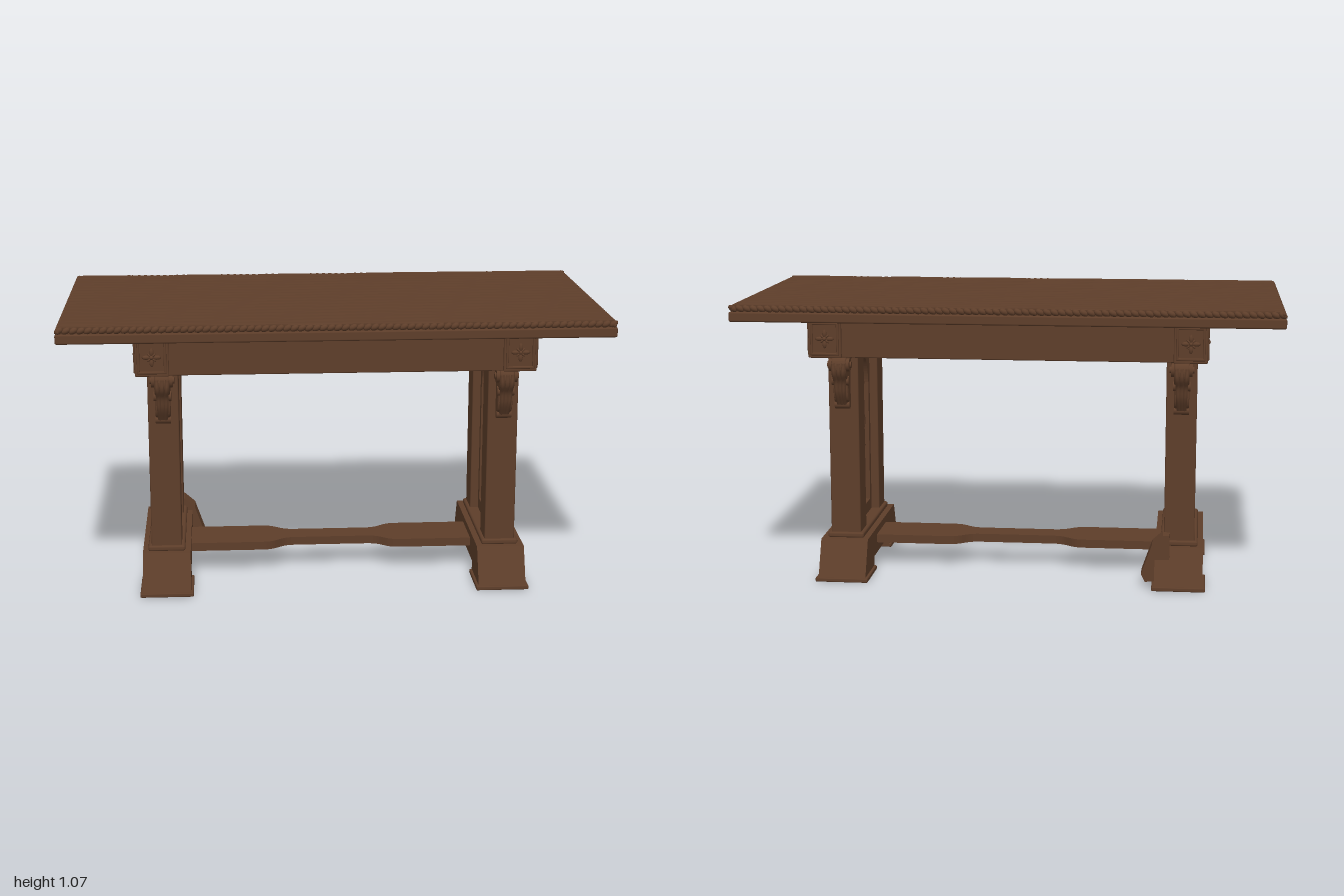
import * as THREE from 'three';
import { mergeGeometries } from 'three/addons/utils/BufferGeometryUtils.js';
import { RoundedBoxGeometry } from 'three/addons/geometries/RoundedBoxGeometry.js';

const wood = new THREE.MeshStandardMaterial({ color: 0x5e3e2a });

function add(parent, name, geo, x = 0, y = 0, z = 0) {
  const m = new THREE.Mesh(geo, wood);
  m.name = name;
  m.position.set(x, y, z);
  parent.add(m);
  return m;
}

const box = (w, h, d, r = 0.004) => new RoundedBoxGeometry(w, h, d, 1, r);
const toShape = (pts) => new THREE.Shape(pts.map(([x, y]) => new THREE.Vector2(x, y)));

// Extrude a shape centred on its depth, so that its own x runs along +z
function slab(shape, depth, bevel = 0) {
  const g = new THREE.ExtrudeGeometry(shape, {
    depth: depth - 2 * bevel, bevelEnabled: bevel > 0, bevelThickness: bevel,
    bevelSize: bevel, bevelOffset: -bevel, bevelSegments: 2, curveSegments: 16,
  });
  return g.translate(0, 0, bevel - depth / 2).rotateY(-Math.PI / 2);
}

function makeTop() {
  const g = new THREE.Group();
  g.name = 'tableTop';
  add(g, 'lowerBoard', box(2, 0.036, 1.03, 0.006), 0, 1.027, 0);

  // Upper board with shallow grain running along x
  const board = new THREE.BoxGeometry(1.975, 0.026, 1.005, 70, 1, 90);
  const p = board.attributes.position;
  for (let i = 0; i < p.count; i++) {
    if (p.getY(i) < 0) continue;
    const x = p.getX(i), z = p.getZ(i);
    const n = Math.sin(z * 173 + 2 * Math.sin(x * 5)) * Math.sin(x * 9 + z * 61);
    p.setY(i, p.getY(i) - 0.003 * Math.max(0, n));
  }
  board.computeVertexNormals();
  add(g, 'grainedBoard', board, 0, 1.057, 0);

  // Twisted rope edge made of slanted beads
  const beads = [];
  const run = (len, fixed, alongX) => {
    const n = Math.round(len / 0.026);
    for (let i = 0; i <= n; i++) {
      const t = -len / 2 + (len * i) / n;
      const b = new THREE.SphereGeometry(1, 8, 6).scale(0.018, 0.011, 0.011).rotateZ(0.5);
      if (!alongX) b.rotateY(Math.PI / 2);
      beads.push(b.translate(alongX ? t : fixed, 1.057, alongX ? fixed : t));
    }
  };
  for (const s of [-1, 1]) {
    run(1.97, s * 0.504, true);
    run(1.0, s * 0.988, false);
  }
  add(g, 'ropeEdge', mergeGeometries(beads));
  return g;
}

// Square frame with a four-petal flower, facing +z
function makeRosette() {
  const g = new THREE.Group();
  g.name = 'rosette';
  for (const s of [-1, 1]) {
    add(g, 'frameBar', box(0.106, 0.01, 0.01), 0, s * 0.056, 0);
    add(g, 'frameBar', box(0.01, 0.122, 0.01), s * 0.048, 0, 0);
  }
  for (let i = 0; i < 8; i++) {
    const long = i % 2 === 0, r = long ? 0.019 : 0.011;
    const petal = new THREE.SphereGeometry(1, 8, 6).scale(long ? 0.016 : 0.011, long ? 0.008 : 0.004, 0.006);
    add(g, 'petal', petal.translate(r, 0, 0).rotateZ((i * Math.PI) / 4));
  }
  add(g, 'flowerCentre', new THREE.SphereGeometry(0.007, 10, 8), 0, 0, 0.003);
  return g;
}

function makeApron() {
  const g = new THREE.Group();
  g.name = 'apron';
  for (const s of [-1, 1]) {
    add(g, 'longRail', box(1.3, 0.14, 0.07), 0, 0.94, s * 0.385);
    add(g, 'endRail', box(0.13, 0.14, 0.72), s * 0.655, 0.94, 0);
    for (const t of [-1, 1]) {
      add(g, 'cornerBlock', box(0.122, 0.142, 0.116), s * 0.666, 0.94, t * 0.372);
      const a = makeRosette();
      a.position.set(s * 0.666, 0.94, t * 0.43);
      a.rotation.y = t > 0 ? 0 : Math.PI;
      const b = makeRosette();
      b.position.set(s * 0.727, 0.94, t * 0.368);
      b.rotation.y = (s * Math.PI) / 2;
      g.add(a, b);
    }
  }
  return g;
}

// Carved scroll bracket projecting along +z
function makeCorbel() {
  const g = new THREE.Group();
  g.name = 'corbel';
  const s = new THREE.Shape();
  s.moveTo(0, 0.86);
  s.lineTo(0.07, 0.86);
  s.bezierCurveTo(0.105, 0.85, 0.1, 0.79, 0.07, 0.775);
  s.bezierCurveTo(0.05, 0.76, 0.065, 0.72, 0.045, 0.69);
  s.quadraticCurveTo(0.03, 0.67, 0, 0.67);
  add(g, 'corbelBody', slab(s, 0.056, 0.006));
  const scroll = (r, len, y, z) =>
    add(g, 'scroll', new THREE.CylinderGeometry(r, r, len, 16).rotateZ(Math.PI / 2), 0, y, z);
  scroll(0.026, 0.078, 0.828, 0.064);
  scroll(0.012, 0.09, 0.828, 0.064);
  scroll(0.018, 0.064, 0.765, 0.05);
  scroll(0.016, 0.056, 0.67, 0.022);
  add(g, 'cap', box(0.08, 0.014, 0.075), 0, 0.853, 0.035);
  // Leaf ribs down the front
  for (const x of [-0.02, 0, 0.02]) {
    const c = new THREE.CatmullRomCurve3([[0.835, 0.088], [0.8, 0.09], [0.765, 0.07], [0.72, 0.06], [0.675, 0.035]]
      .map(([y, z], i) => new THREE.Vector3(x * (1 - i * 0.12), y, z)));
    add(g, 'leafRib', new THREE.TubeGeometry(c, 14, 0.009, 6));
  }
  return g;
}

// Pierced panel between the posts, drawn with shape x along z
function makeTracery() {
  const g = new THREE.Group();
  g.name = 'tracery';
  const plate = toShape([[-0.145, 0.16], [0.145, 0.16], [0.145, 0.87], [-0.145, 0.87]]);
  const arch = new THREE.Path();
  arch.moveTo(-0.112, 0.215);
  arch.lineTo(0.112, 0.215);
  arch.lineTo(0.112, 0.69);
  arch.quadraticCurveTo(0.1, 0.79, 0, 0.842);
  arch.quadraticCurveTo(-0.1, 0.79, -0.112, 0.69);
  plate.holes.push(arch);
  for (const s of [-1, 1])
    plate.holes.push(toShape([[s * 0.104, 0.84], [s * 0.08, 0.84], [s * 0.085, 0.82], [s * 0.082, 0.8], [s * 0.1, 0.8], [s * 0.097, 0.82]]));
  add(g, 'panelFrame', slab(plate, 0.05));

  // Large ring, its quatrefoil and the pointed moulding around them
  const ring = (r, tube, z, y, sx = 1) =>
    add(g, 'ring', new THREE.TorusGeometry(r, tube, 8, 32).scale(sx, 1, 1.2).rotateY(-Math.PI / 2), 0, y, z);
  ring(0.095, 0.01, 0, 0.692, 0.88);
  const foil = (extra) => Array.from({ length: 64 }, (_, i) => {
    const a = (i / 64) * Math.PI * 2;
    const r = 0.047 + 0.011 * Math.cos(4 * a) + 0.005 * Math.cos(8 * a) + extra;
    return [0.9 * r * Math.cos(a), 0.692 + r * Math.sin(a)];
  });
  const band = toShape(foil(0.019));
  band.holes.push(toShape(foil(0)));
  add(g, 'quatrefoil', slab(band, 0.026));
  for (const s of [-1, 1]) {
    const c = new THREE.QuadraticBezierCurve3(new THREE.Vector3(0, 0.68, s * 0.108),
      new THREE.Vector3(0, 0.78, s * 0.098), new THREE.Vector3(0, 0.838, 0));
    add(g, 'archMoulding', new THREE.TubeGeometry(c, 16, 0.009, 6));
    add(g, 'sideRod', box(0.02, 0.12, 0.012), 0, 0.62, s * 0.083);
    add(g, 'sideLink', box(0.02, 0.014, 0.035), 0, 0.69, s * 0.097);
  }

  // Row of small rings on a bar
  for (const z of [-0.083, 0, 0.083]) ring(0.029, 0.009, z, 0.537);
  for (const s of [-1, 1]) {
    add(g, 'ringLink', box(0.02, 0.016, 0.03), 0, 0.545, s * 0.042);
    add(g, 'ringLink', box(0.02, 0.016, 0.02), 0, 0.545, s * 0.112);
  }
  add(g, 'ringLink', box(0.02, 0.025, 0.012), 0, 0.58, 0);

  // Slender mullions carrying four lancet arches
  for (let i = -2; i <= 2; i++) {
    const z = i * 0.0535;
    add(g, 'mullion', new THREE.CylinderGeometry(0.007, 0.007, 0.23, 8), 0, 0.325, z);
    add(g, 'mullionCap', box(0.022, 0.01, 0.02), 0, 0.437, z);
    for (const s of [-1, 1]) {
      if (Math.abs(i + s) > 2) continue;
      const c = new THREE.QuadraticBezierCurve3(new THREE.Vector3(0, 0.435, z),
        new THREE.Vector3(0, 0.485, z + s * 0.004), new THREE.Vector3(0, 0.512, z + s * 0.03));
      add(g, 'lancetArch', new THREE.TubeGeometry(c, 8, 0.007, 6));
    }
  }
  return g;
}

function makeTrestle() {
  const g = new THREE.Group();
  g.name = 'trestle';
  const base = toShape([[-0.355, 0.01], [-0.165, 0.01], [-0.165, 0.05], [0.165, 0.05], [0.165, 0.01],
    [0.355, 0.01], [0.29, 0.15], [-0.29, 0.15]]);
  add(g, 'base', slab(base, 0.18));
  add(g, 'ledge', box(0.14, 0.022, 0.53, 0.008), 0, 0.159, 0);
  g.add(makeTracery());
  for (const s of [-1, 1]) {
    add(g, 'footPlate', box(0.2, 0.016, 0.2), 0, 0.008, s * 0.265);
    add(g, 'post', box(0.114, 0.72, 0.115), 0, 0.515, s * 0.197);
    const c = makeCorbel();
    c.position.z = s * 0.252;
    c.rotation.y = s > 0 ? 0 : Math.PI;
    g.add(c);
  }
  return g;
}

// Flat stretcher board with a narrowed waist
function makeStretcher() {
  const s = new THREE.Shape();
  s.moveTo(-0.57, -0.1);
  s.lineTo(-0.27, -0.1);
  s.bezierCurveTo(-0.2, -0.1, -0.21, -0.05, -0.14, -0.05);
  s.lineTo(0.14, -0.05);
  s.bezierCurveTo(0.21, -0.05, 0.2, -0.1, 0.27, -0.1);
  s.lineTo(0.57, -0.1);
  s.lineTo(0.57, 0.1);
  s.lineTo(0.27, 0.1);
  s.bezierCurveTo(0.2, 0.1, 0.21, 0.05, 0.14, 0.05);
  s.lineTo(-0.14, 0.05);
  s.bezierCurveTo(-0.21, 0.05, -0.2, 0.1, -0.27, 0.1);
  s.lineTo(-0.57, 0.1);
  return new THREE.ExtrudeGeometry(s, { depth: 0.032, bevelEnabled: false }).rotateX(-Math.PI / 2);
}

export function createModel() {
  const model = new THREE.Group();
  model.name = 'trestleTable';
  model.add(makeTop(), makeApron());
  for (const s of [-1, 1]) {
    const t = makeTrestle();
    t.position.x = s * 0.635;
    t.rotation.y = s > 0 ? 0 : Math.PI;
    model.add(t);
  }
  add(model, 'stretcher', makeStretcher(), 0, 0.09, 0);
  // Worn wedge on the inner side of one back foot
  const wedge = new THREE.ExtrudeGeometry(
    toShape([[-0.6, 0.03], [-0.51, 0.02], [-0.495, 0.05], [-0.535, 0.165], [-0.575, 0.2], [-0.6, 0.2]]),
    { depth: 0.08, bevelEnabled: false });
  add(model, 'footWedge', wedge, 0, 0, -0.31);
  return model;
}
